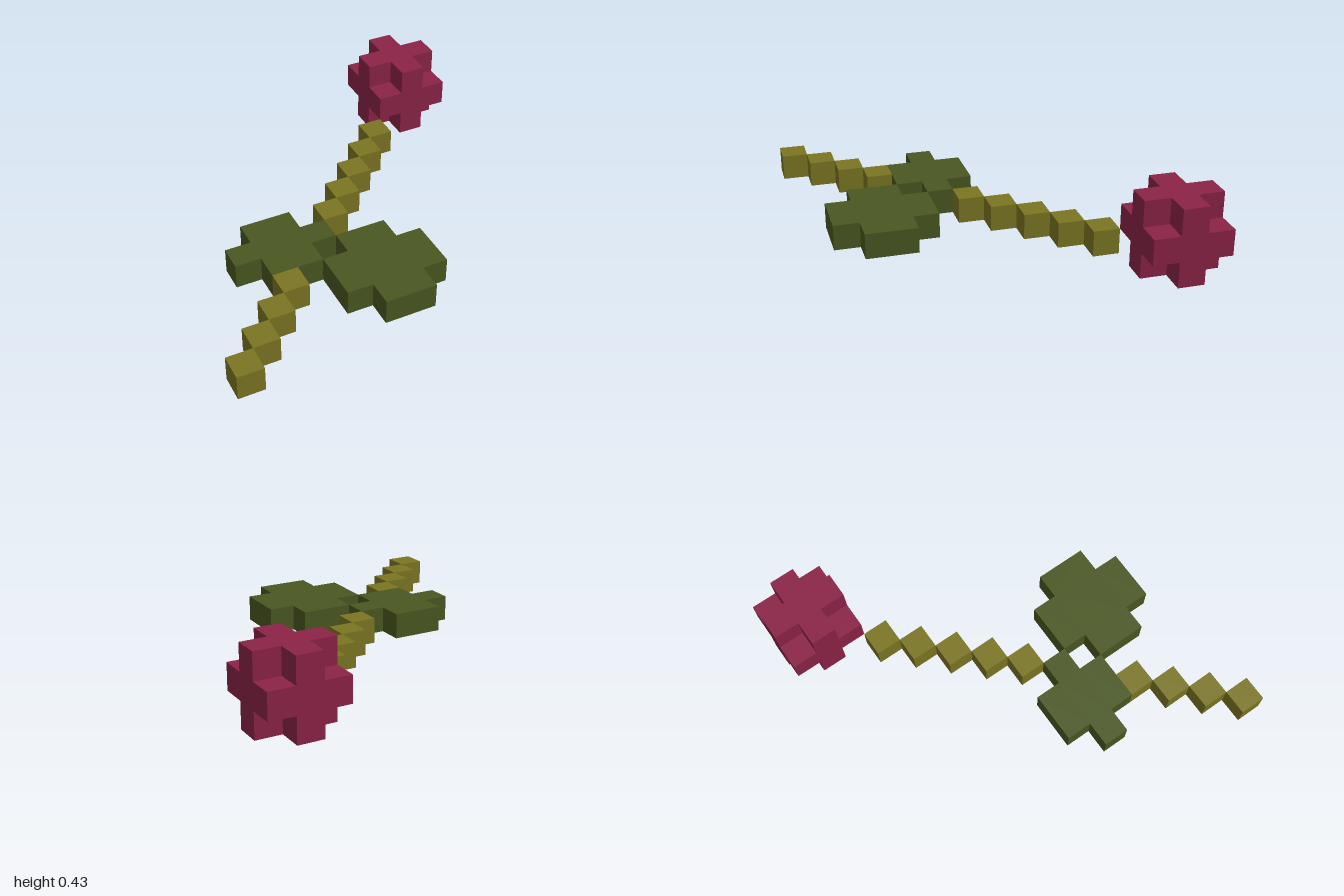
import * as THREE from 'three';

const V = 1 / 7; // edge of one cube

export function createModel() {
  const stemMat = new THREE.MeshStandardMaterial({ name: 'olive stem', color: 0x7b7522 });
  const leafMat = new THREE.MeshStandardMaterial({ name: 'dark green leaf', color: 0x4a5721 });
  const petalMat = new THREE.MeshStandardMaterial({ name: 'crimson petal', color: 0x8b2347 });
  const model = new THREE.Group();
  model.name = 'blockFlower';

  const addMesh = (parent, name, geometry, material, x, y, z) => {
    const mesh = new THREE.Mesh(geometry, material);
    mesh.name = name;
    mesh.position.set(x * V, y * V, z * V);
    parent.add(mesh);
  };

  // Stem: cubes stepping diagonally, interrupted by the small leaf
  const stem = new THREE.Group();
  stem.name = 'stem';
  const cube = new THREE.BoxGeometry(V, V, V);
  for (let i = 0; i < 11; i++) {
    if (i === 4 || i === 5) continue;
    addMesh(stem, 'stemBlock', cube, stemMat, i - 6.5, 0.5, 6.5 - i);
  }
  model.add(stem);

  // Leaves: flat crosses one cube thick; a, b are half the outer size, c, d half the arm widths
  const crossGeometry = (a, b, c, d) => {
    const corners = [
      [a, -d], [a, d], [c, d], [c, b], [-c, b], [-c, d],
      [-a, d], [-a, -d], [-c, -d], [-c, -b], [c, -b], [c, -d],
    ];
    const shape = new THREE.Shape(corners.map(([x, z]) => new THREE.Vector2(x * V, z * V)));
    return new THREE.ExtrudeGeometry(shape, { depth: V, bevelEnabled: false }).rotateX(Math.PI / 2);
  };
  addMesh(model, 'smallLeaf', crossGeometry(2, 1.5, 1, 0.5), leafMat, -3, 1, 1.5);
  addMesh(model, 'largeLeaf', crossGeometry(2, 2, 1, 1), leafMat, 0, 1, 4);

  // Blossom: three crossed slabs leave the eight corners notched
  const blossom = new THREE.Group();
  blossom.name = 'blossom';
  for (const size of [[1, 3, 3], [3, 1, 3], [3, 3, 1]]) {
    const slab = new THREE.BoxGeometry(...size.map((s) => s * V));
    addMesh(blossom, 'petalSlab', slab, petalMat, 5.5, 1.5, -5.5);
  }
  model.add(blossom);

  return model;
}
